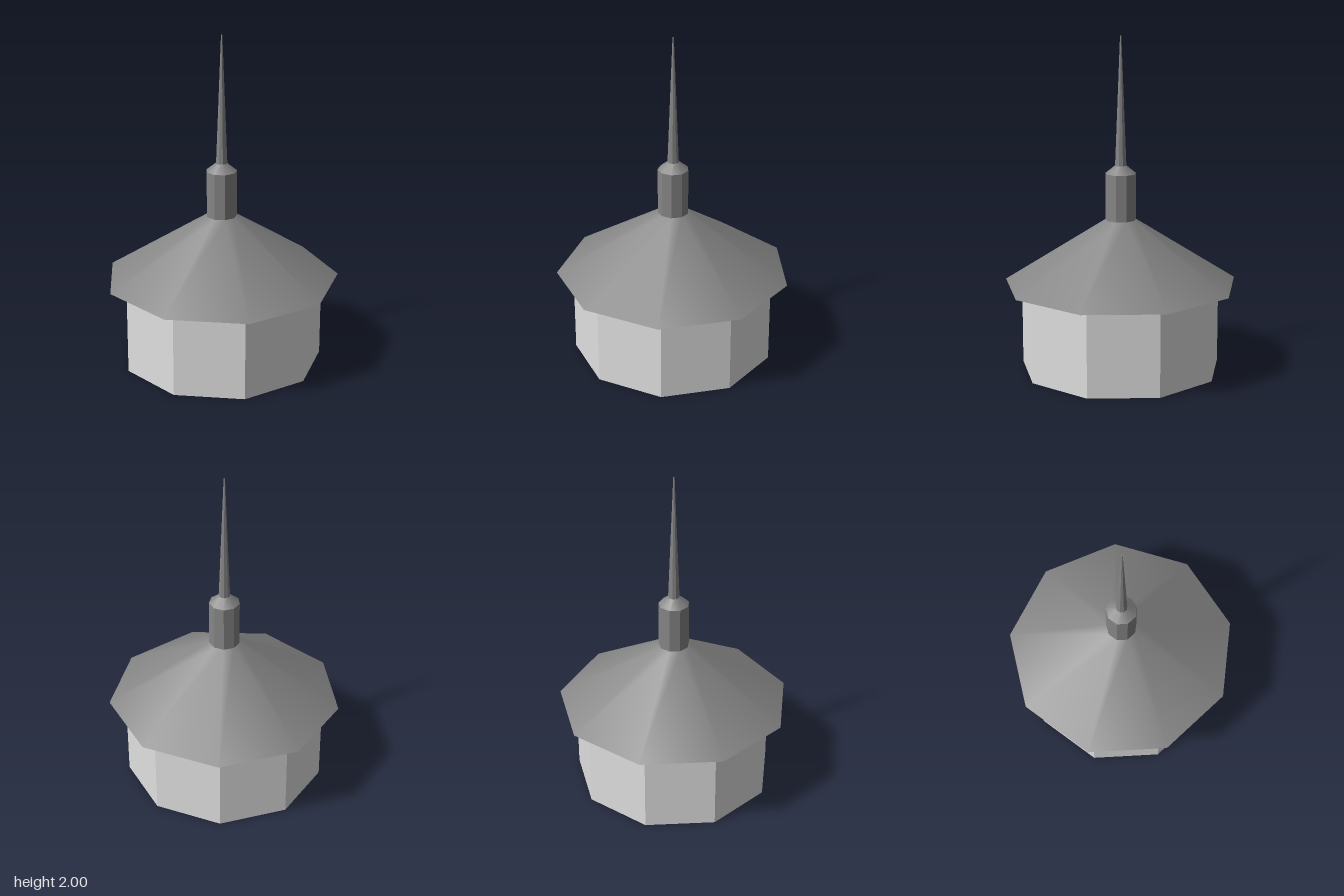
import * as THREE from 'three';

const SIDES = 9;
const CENTRE_Z = 0.02;

// Nine-sided drum or cone from y0 to y1, with one corner facing the back.
function ring(rBottom, rTop, y0, y1, { open = false, flat = false } = {}) {
  let g = new THREE.CylinderGeometry(rTop, rBottom, y1 - y0, SIDES, 1, open, Math.PI);
  if (flat) {
    g = g.toNonIndexed();
    g.computeVertexNormals();
  }
  return g.translate(0, (y0 + y1) / 2, CENTRE_Z);
}

export function createModel() {
  const wallPaint = new THREE.MeshStandardMaterial({ color: 0xe0e0e0, side: THREE.DoubleSide });
  wallPaint.name = 'pale wall';
  const roofGrey = new THREE.MeshStandardMaterial({ color: 0x868686 });
  roofGrey.name = 'roof grey';

  const model = new THREE.Group();
  model.name = 'pavilion';
  const add = (name, geometry, material) => {
    const mesh = new THREE.Mesh(geometry, material);
    mesh.name = name;
    model.add(mesh);
  };

  // Hollow faceted walls, open at the bottom
  add('walls', ring(0.606, 0.606, 0, 0.52, { open: true, flat: true }), wallPaint);
  // Wide softly shaded roof with a flat underside
  add('roof', ring(0.706, 0.092, 0.52, 0.912), roofGrey);
  // Turret, its sloping cap and the needle spire
  add('turret', ring(0.092, 0.092, 0.912, 1.19, { flat: true }), roofGrey);
  add('turretCap', ring(0.092, 0.034, 1.19, 1.237), roofGrey);
  add('spire', ring(0.034, 0.004, 1.237, 2, { flat: true }), roofGrey);

  return model;
}
